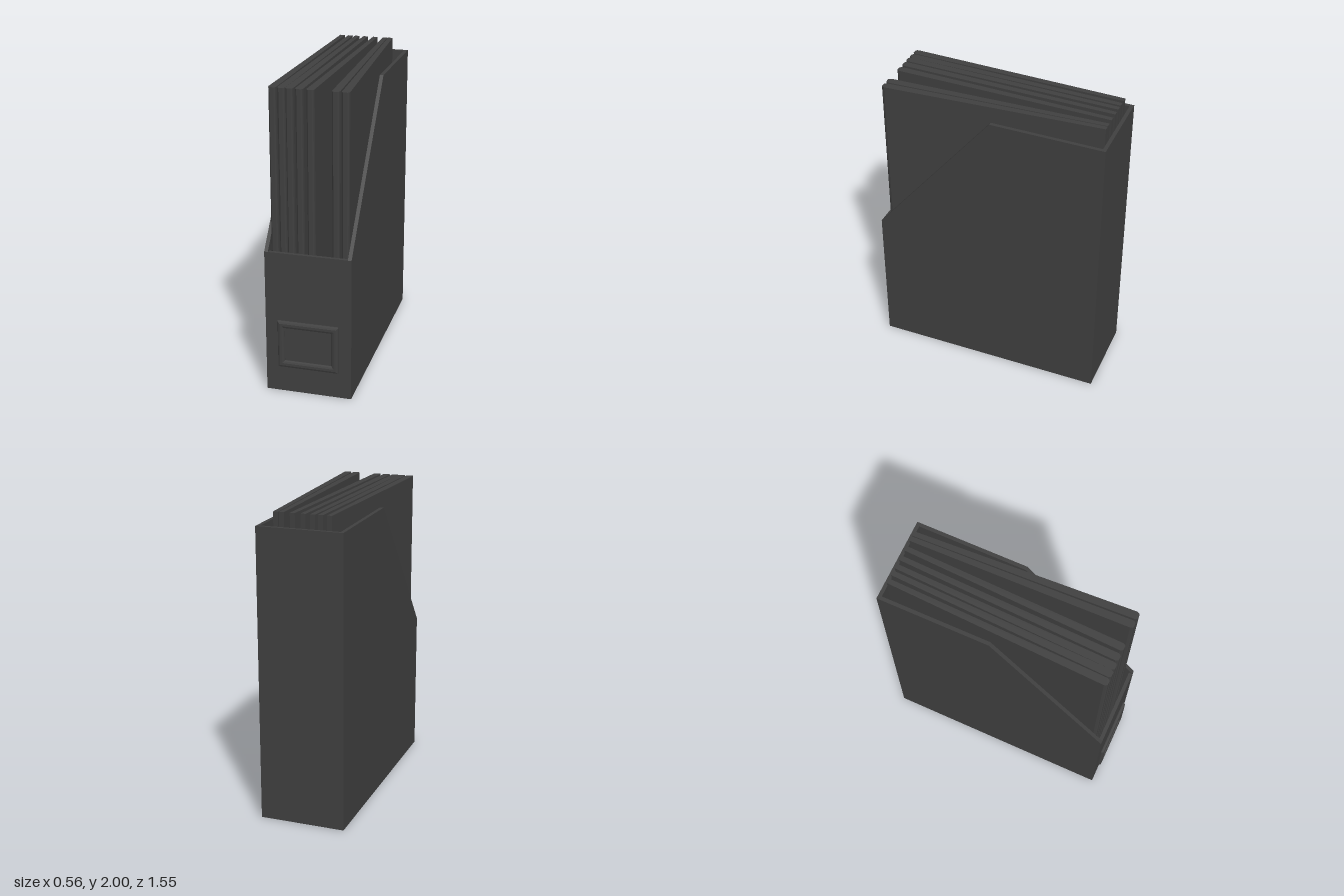
import * as THREE from 'three';

const material = new THREE.MeshStandardMaterial({ color: 0x404040 });

const W = 0.28, BACK = -0.777, FRONT = 0.757, TOP = 1.917, LIP = 0.96, T = 0.024;

function add(parent, name, geometry) {
  const mesh = new THREE.Mesh(geometry, material);
  mesh.name = name;
  parent.add(mesh);
  return mesh;
}

function box(parent, name, w, h, d, x, y, z) {
  add(parent, name, new THREE.BoxGeometry(w, h, d)).position.set(x, y, z);
}

function polygon(points) {
  return new THREE.Shape(points.map(([x, y]) => new THREE.Vector2(x, y)));
}

// Rectangle, wound either way, for a frame outline or its opening
function rectangle(x, y0, y1) {
  return [[-x, y0], [x, y0], [x, y1], [-x, y1]];
}

// Open holder with sloped side walls
function createHolder() {
  const holder = new THREE.Group();
  holder.name = 'holder';
  const profile = polygon([[-FRONT, 0], [-BACK, 0], [-BACK, TOP - 0.005], [0.035, TOP + 0.003], [-FRONT, LIP]]);
  for (const [name, x] of [['leftSide', W - T], ['rightSide', -W]]) {
    const side = new THREE.ExtrudeGeometry(profile, { depth: T, bevelEnabled: false });
    side.rotateY(Math.PI / 2);
    add(holder, name, side).position.x = x;
  }
  const inner = 2 * (W - T);
  box(holder, 'frontWall', inner, LIP, T, 0, LIP / 2, FRONT - T / 2);
  box(holder, 'backWall', inner, TOP - 0.005, T, 0, (TOP - 0.005) / 2, BACK + T / 2);
  box(holder, 'floor', inner, T, FRONT - BACK - 2 * T, 0, T / 2, (FRONT + BACK) / 2);
  return holder;
}

// Bevelled label frame on the front wall
function createLabel() {
  const label = new THREE.Group();
  label.name = 'labelHolder';
  const frame = polygon(rectangle(0.184, 0.191, 0.484));
  frame.holes.push(new THREE.Path(polygon(rectangle(0.17, 0.207, 0.468)).getPoints().reverse()));
  const geometry = new THREE.ExtrudeGeometry(frame, {
    depth: 0.006, bevelThickness: 0.014, bevelSize: 0.016, bevelSegments: 2, steps: 1,
  });
  add(label, 'labelFrame', geometry).position.z = FRONT;
  box(label, 'labelCard', 0.34, 0.26, 0.004, 0, 0.3375, FRONT + 0.002);
  return label;
}

// Magazine: thick rounded spine at the front, tapering to the back
function createMagazine(frontX, backX) {
  const zf = 0.705, zb = -0.74, a = 0.025, b = 0.016, c = 0.012;
  const outline = polygon([
    [backX - b, -zb], [frontX - a, -zf + 0.02], [frontX - a + 0.004, -zf + 0.007], [frontX - a + c, -zf],
    [frontX + a - c, -zf], [frontX + a - 0.004, -zf + 0.007], [frontX + a, -zf + 0.02], [backX + b, -zb],
  ]);
  const geometry = new THREE.ExtrudeGeometry(outline, { depth: 2 - T, bevelEnabled: false });
  geometry.rotateX(-Math.PI / 2);
  geometry.translate(0, T, 0);
  return geometry;
}

export function createModel() {
  const model = new THREE.Group();
  model.name = 'magazineFile';
  model.add(createHolder(), createLabel());

  // Spine and back-edge positions of each magazine
  const magazines = [
    [-0.228, -0.18], [-0.172, -0.123], [-0.122, -0.074], [-0.061, -0.014],
    [0.008, 0.055], [0.164, 0.125], [0.225, 0.162],
  ];
  magazines.forEach(([f, b], i) => add(model, `magazine${i + 1}`, createMagazine(f, b)));
  return model;
}
